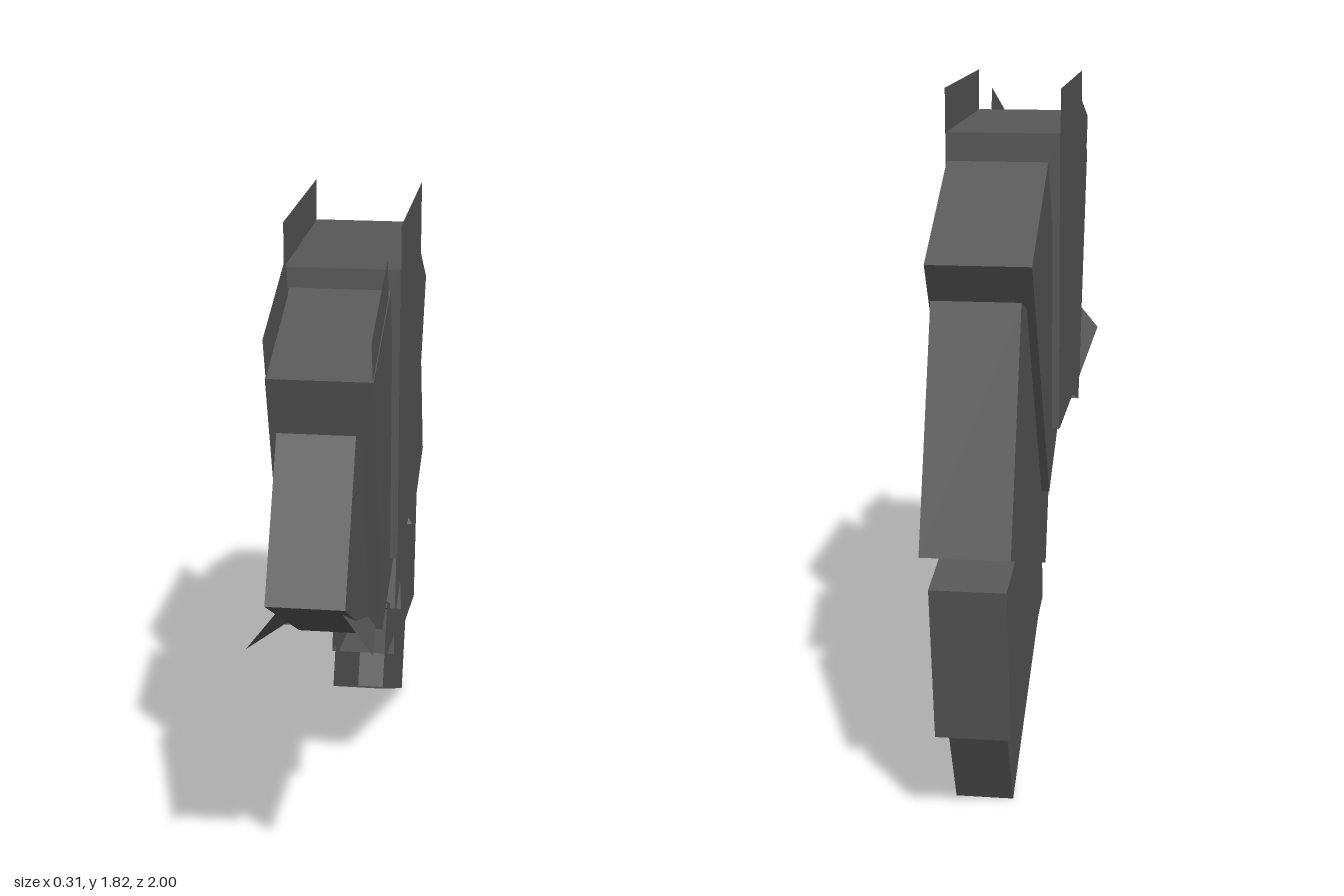
import * as THREE from 'three';

export function createModel() {
  const model = new THREE.Group();
  const darkGrey = new THREE.MeshStandardMaterial({ color: 0x585858, side: THREE.DoubleSide });
  darkGrey.name = 'darkGrey';
  const centreX = -0.005;

  // Box growing outward (+y) from its inner end, with that inner end left open
  function openBox(width, depth, breadth) {
    const g = new THREE.BoxGeometry(width, depth, breadth);
    g.translate(0, depth / 2, 0);
    const index = Array.from(g.index.array);
    index.splice(18, 6);
    g.setIndex(index);
    g.clearGroups();
    return g;
  }

  // One link of the arched chain; (z, y) is the middle of its inner end
  function addSegment({ name, z, y, angle, width, depth, breadth, fin }) {
    const segment = new THREE.Group();
    segment.name = name;
    segment.position.set(centreX, y, z);
    segment.rotation.x = angle;
    const shell = new THREE.Mesh(openBox(width, depth, breadth), darkGrey);
    shell.name = name + 'Shell';
    segment.add(shell);
    // Flat side plates rising above the outer end
    if (fin) {
      for (const side of [-1, 1]) {
        const plate = new THREE.Mesh(new THREE.PlaneGeometry(fin.breadth, fin.depth), darkGrey);
        plate.name = side > 0 ? 'leftSidePlate' : 'rightSidePlate';
        plate.rotation.y = side * Math.PI / 2;
        plate.position.set(side * fin.x, fin.depth / 2, fin.shift);
        segment.add(plate);
      }
    }
    model.add(segment);
  }

  const segments = [
    { name: 'headSegment', z: 0.37, y: 0.945, angle: 1.037, width: 0.19, depth: 0.61, breadth: 0.413 },
    { name: 'neckSegment', z: 0.303, y: 0.854, angle: 0.302, width: 0.26, depth: 0.79, breadth: 0.408,
      fin: { x: 0.128, depth: 0.9, breadth: 0.375, shift: 0.016 } },
    { name: 'topSegment', z: 0.005, y: 0.91, angle: -0.017, width: 0.3, depth: 0.795, breadth: 0.605,
      fin: { x: 0.1515, depth: 0.91, breadth: 0.605, shift: 0 } },
    { name: 'upperBackSegment', z: -0.182, y: 0.851, angle: -0.539, width: 0.262, depth: 0.793, breadth: 0.41 },
    { name: 'middleBackSegment', z: -0.15, y: 0.795, angle: -1.235, width: 0.22, depth: 0.794, breadth: 0.613 },
    { name: 'lowerBackSegment', z: -0.22, y: 0.589, angle: -1.743, width: 0.19, depth: 0.717, breadth: 0.419 },
    { name: 'tailSegment', z: -0.112, y: 0.447, angle: -2.045, width: 0.15, depth: 0.716, breadth: 0.263 },
  ];
  segments.forEach(addSegment);

  // Splayed jaw flaps, mirrored under the head
  for (const side of [-1, 1]) {
    const front = new THREE.Vector3(side * 0.153, 0.934, 0.937);
    const rear = new THREE.Vector3(side * 0.115, 0.817, 0.53);
    const up = new THREE.Vector3(side * -0.11, 0.14, -0.026);
    const corners = [front, rear, rear.clone().add(up), front.clone().add(up)];
    const g = new THREE.BufferGeometry().setFromPoints(corners);
    g.setIndex(side > 0 ? [0, 1, 2, 0, 2, 3] : [0, 2, 1, 0, 3, 2]);
    g.computeVertexNormals();
    const flap = new THREE.Mesh(g, darkGrey);
    flap.name = side > 0 ? 'leftJawFlap' : 'rightJawFlap';
    flap.position.x = centreX;
    model.add(flap);
  }

  return model;
}
